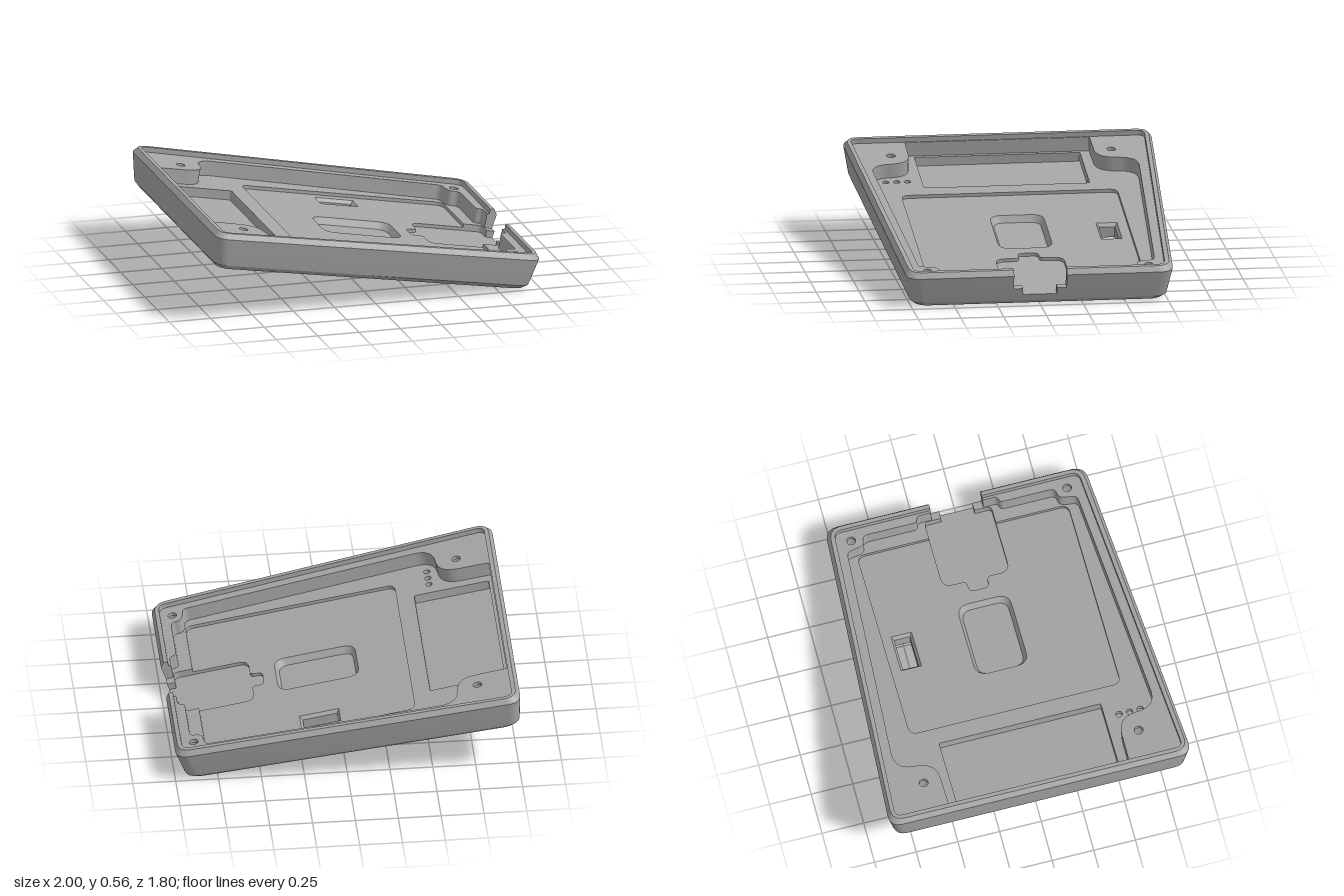
import * as THREE from 'three';
import { mergeGeometries, toCreasedNormals } from 'three/addons/utils/BufferGeometryUtils.js';

// The tray is built flat (u along its length, h up, z across), then tilted.
const TILT = Math.PI / 18;
const FLOOR = 0.105, PANEL = 0.085, CONNECTOR = 0.065, LEDGE = 0.192, TOP = 0.222;
const GAP = 0.155;

// Length coordinate along the tilted tray of a point at level x and height h
const along = (x, h) => (x - h * Math.sin(TILT)) / Math.cos(TILT);
const place = (pts, h) => pts.map(([x, z, r]) => [along(x, h), z, r]);
const flip = (pts) => pts.map(([u, z, r]) => [u, -z, r]).reverse();
const mirrored = (half) => [...half, ...flip(half)];

// Path with corners rounded by the radius given as third number
function rounded(pts, closed = false) {
  const out = [], n = pts.length;
  pts.forEach(([u, z, r], i) => {
    if (!r || (!closed && (i === 0 || i === n - 1))) { out.push([u, z]); return; }
    const p = new THREE.Vector2(u, z);
    const toward = (q) => {
      const d = new THREE.Vector2(q[0], q[1]).sub(p);
      return p.clone().addScaledVector(d, Math.min(r / d.length(), 0.49));
    };
    const curve = new THREE.QuadraticBezierCurve(toward(pts[(i + n - 1) % n]), p, toward(pts[(i + 1) % n]));
    curve.getPoints(8).forEach((q) => out.push([q.x, q.y]));
  });
  return out;
}

const box = (x0, x1, z0, z1, r, h) =>
  rounded(place([[x0, z0, r], [x1, z0, r], [x1, z1, r], [x0, z1, r]], h), true);

const circle = (u, z, r) => Array.from({ length: 24 }, (_, i) => {
  const a = (i / 24) * Math.PI * 2;
  return [u + r * Math.cos(a), z + r * Math.sin(a)];
});

// Outer outline moved inward by d, open by gap either side of the middle of the low end
function ring(d, gap, r = 0.08) {
  const uL = -1.05 + d, uR = 0.98 - d;
  return rounded(mirrored([[uR, gap], [uR, 0.778 - d, r], [uL, 0.907 - d, r], [uL, 0]]));
}

// Wall joining two paths of equal point count at two heights
function wallGeometry(a, ha, b, hb, closed = false) {
  const pos = [], n = a.length;
  for (let i = 0; i < (closed ? n : n - 1); i++) {
    const j = (i + 1) % n;
    const A = [a[i][0], ha, a[i][1]], B = [a[j][0], ha, a[j][1]];
    const C = [b[j][0], hb, b[j][1]], D = [b[i][0], hb, b[i][1]];
    pos.push(...A, ...C, ...B, ...A, ...D, ...C);
  }
  const g = new THREE.BufferGeometry();
  g.setAttribute('position', new THREE.Float32BufferAttribute(pos, 3));
  g.computeVertexNormals();
  return g;
}

export function createModel() {
  const model = new THREE.Group();
  model.name = 'tray';
  const grey = new THREE.MeshStandardMaterial({ color: 0xa6a6a6, side: THREE.DoubleSide });
  grey.name = 'grey plastic';

  const tray = new THREE.Group();
  tray.name = 'tiltedCase';
  tray.rotation.z = -TILT;
  tray.position.y = 0.16;
  model.add(tray);

  const add = (name, geometry) => {
    const mesh = new THREE.Mesh(geometry, grey);
    mesh.name = name;
    tray.add(mesh);
    return mesh;
  };
  const wall = (name, a, ha, b, hb, closed) =>
    add(name, toCreasedNormals(wallGeometry(a, ha, b, hb, closed), 0.5));
  const vectors = (pts) => pts.map(([u, z]) => new THREE.Vector2(u, -z));
  const flat = (name, pts, h, holes = []) => {
    const shape = new THREE.Shape(vectors(pts));
    shape.holes = holes.map((p) => new THREE.Path(vectors(p)));
    return add(name, new THREE.ShapeGeometry(shape).rotateX(-Math.PI / 2).translate(0, h, 0));
  };

  // Outer skin: chamfered foot, leaning sides, chamfered rim, port cut in the low end
  const rows = [[0, 0.055, 0], [0.025, 0.03, 0], [CONNECTOR, 0.022, 0.1], [FLOOR, 0.015, GAP], [0.19, 0, GAP], [TOP, 0.02]];
  const strips = rows.slice(0, -1).map(([h, d, gap], i) =>
    wallGeometry(ring(d, gap), h, ring(rows[i + 1][1], gap), rows[i + 1][0]));
  add('outerSides', toCreasedNormals(mergeGeometries(strips), 0.5));

  // Rim and the lip inside it
  const rimInner = ring(0.045, GAP, 0.045);
  flat('rim', [...ring(0.02, GAP), ...[...rimInner].reverse()], TOP);
  wall('rimLip', rimInner, TOP, rimInner, LEDGE);

  // Main pocket with corner bosses
  const pocket = rounded(mirrored(place([
    [0.94, GAP], [0.94, 0.24, 0.02], [0.9, 0.25, 0.02], [0.9, 0.58, 0.04], [0.835, 0.58, 0.05],
    [0.82, 0.69, 0.03], [-0.64, 0.785, 0.11], [-0.66, 0.545, 0.11], [-0.95, 0.54],
  ], LEDGE)));
  const screws = [];
  for (const s of [-1, 1]) screws.push([along(-0.77, LEDGE), 0.645 * s], [along(0.885, LEDGE), 0.648 * s]);
  flat('ledge', [...rimInner, ...[...pocket].reverse()], LEDGE, screws.map(([u, z]) => circle(u, z, 0.026)));
  wall('pocketWall', pocket, LEDGE, pocket, FLOOR);

  // Cheeks of the port
  const pu = pocket[0][0];
  for (const s of [-1, 1]) {
    const cheek = new THREE.Shape([[pu, FLOOR], [0.965, FLOOR], [0.98, 0.19], [0.96, TOP], [0.935, TOP],
      [0.935, LEDGE], [pu, LEDGE]].map((p) => new THREE.Vector2(...p)));
    add('portCheek', new THREE.ShapeGeometry(cheek).translate(0, 0, GAP * s));
  }

  // Screw holes with counterbores from below
  for (const [u, z] of screws) {
    const small = circle(u, z, 0.026), large = circle(u, z, 0.04);
    wall('screwHole', small, LEDGE, small, 0.17, true);
    flat('screwSeat', large, 0.17, [small]);
    wall('counterbore', large, 0.17, large, 0, true);
  }

  // Floor, shallow panel recess and connector recess reaching out through the port
  const panel = rounded(mirrored(place([[0.81, 0.2], [0.81, 0.632, 0.05], [-0.41, 0.632, 0.05]], 0.1)));
  const conIn = rounded(mirrored(place([[0.81, 0.2], [0.49, 0.2, 0.06], [0.49, 0.06, 0.03], [0.42, 0.06, 0.03]], 0.1)));
  const conOut = (u) => rounded([[u, 0.1], ...place([[0.92, 0.1], [0.92, 0.2, 0.03], [0.81, 0.2]], 0.1)]);
  const battery = box(-0.945, -0.51, -0.485, 0.485, 0.01, FLOOR);
  const dots = [0.57, 0.633, 0.697].map((z) => circle(along(-0.605, FLOOR), z, 0.019));
  flat('floor', [...conOut(0.965), ...panel, ...flip(conOut(0.965)),
    [0.965, -GAP], ...[...pocket].reverse(), [0.965, GAP]], FLOOR, [battery, ...dots]);
  wall('panelEdge', panel, FLOOR, panel, PANEL);
  wall('connectorEdge', conIn, PANEL, conIn, CONNECTOR);
  const low = conOut(0.958), high = conOut(0.965);
  wall('connectorSide', low, CONNECTOR, high, FLOOR);
  wall('connectorSide', flip(low), CONNECTOR, flip(high), FLOOR);
  flat('connectorFloor', [...low, ...conIn, ...flip(low)], CONNECTOR);

  // Battery bay and the three small pits
  wall('batteryBayWall', battery, FLOOR, battery, 0.05, true);
  flat('batteryBayFloor', battery, 0.05);
  for (const dot of dots) {
    wall('pitWall', dot, FLOOR, dot, 0.08, true);
    flat('pitFloor', dot, 0.08);
  }

  // Panel floor with the rounded well and the slot that runs through the base
  const well = box(-0.13, 0.342, -0.16, 0.155, 0.075, PANEL);
  const wellFloor = box(-0.11, 0.322, -0.14, 0.135, 0.065, PANEL);
  const slotTop = box(0.02, 0.25, -0.575, -0.452, 0, PANEL);
  const slot = box(0.035, 0.235, -0.56, -0.467, 0, PANEL);
  flat('panelFloor', [...panel, ...[...conIn].reverse()], PANEL, [well, slotTop]);
  wall('wellWall', well, PANEL, wellFloor, 0.045, true);
  flat('wellFloor', wellFloor, 0.045);
  wall('slotBevel', slotTop, PANEL, slot, 0.065, true);
  wall('slotWall', slot, 0.065, slot, 0, true);

  // Underside
  flat('underside', ring(0.055, 0), 0, [slot, ...screws.map(([u, z]) => circle(u, z, 0.04))]);

  return model;
}
